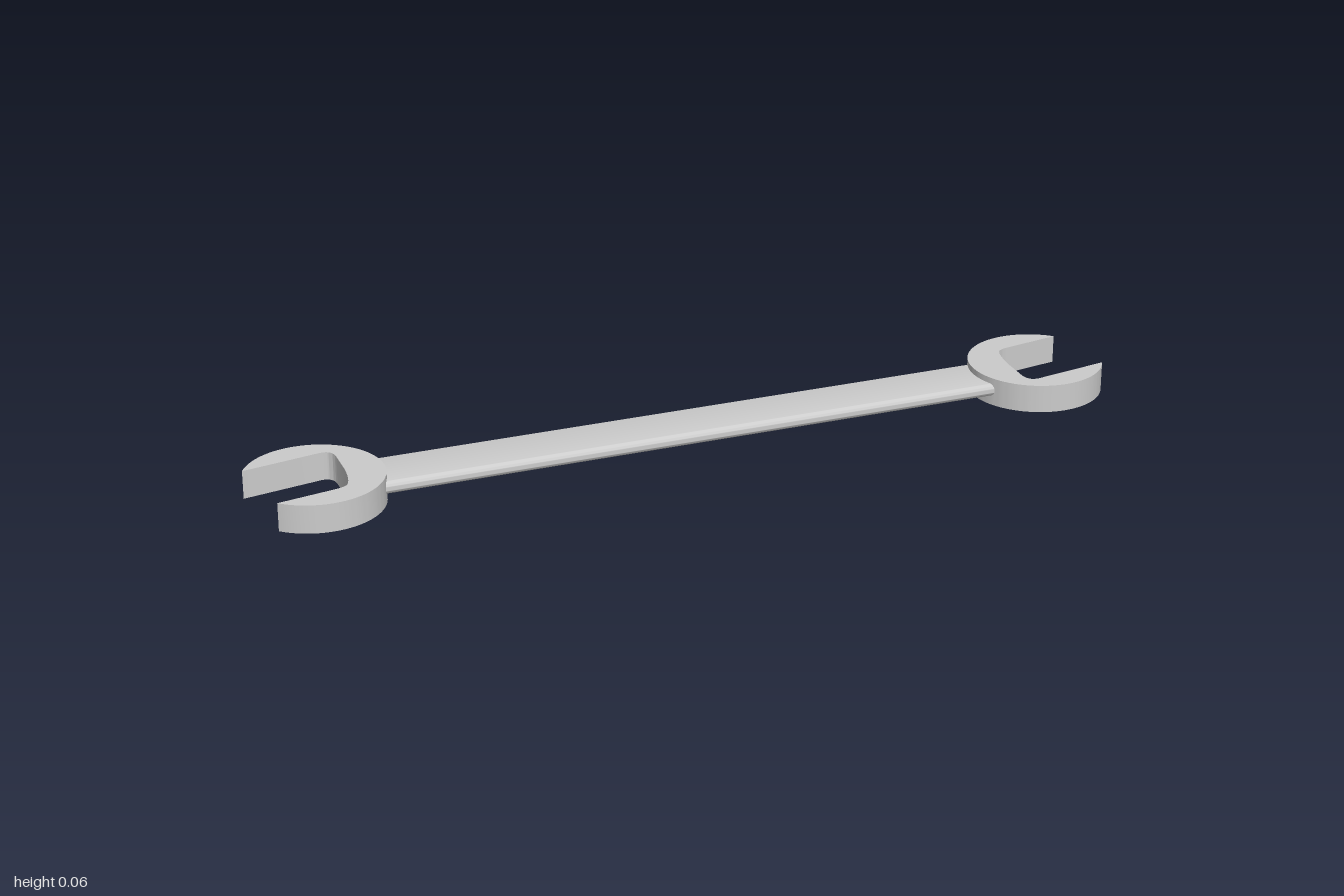
import * as THREE from 'three';
import { toCreasedNormals } from 'three/addons/utils/BufferGeometryUtils.js';

const HEAD_X = 0.86, HEAD_R = 0.155, HEAD_H = 0.065;
const HANDLE_LENGTH = 1.48, HANDLE_HALF_WIDTH = 0.071, HANDLE_H = 0.03;

// Open jaw: round outside, slightly tilted slot with a rounded throat
function headGeometry() {
  const s = new THREE.Shape();
  s.absarc(0, 0, HEAD_R, 0.8, Math.PI * 2 - 0.48, false);
  s.lineTo(-0.042, -0.102);
  s.quadraticCurveTo(-0.07, -0.105, -0.07, -0.07);
  s.lineTo(-0.069, 0.0);
  s.quadraticCurveTo(-0.064, 0.065, -0.05, 0.079);
  s.quadraticCurveTo(-0.044, 0.085, -0.025, 0.089);
  s.closePath();
  const g = new THREE.ExtrudeGeometry(s, { depth: HEAD_H, bevelEnabled: false, curveSegments: 48 });
  g.rotateX(-Math.PI / 2);
  return toCreasedNormals(g, 0.5);
}

// Flat bar with fully rounded long edges
function handleGeometry() {
  const r = HANDLE_H / 2, w = HANDLE_HALF_WIDTH - r;
  const s = new THREE.Shape();
  s.absarc(w, 0, r, -Math.PI / 2, Math.PI / 2, false);
  s.absarc(-w, 0, r, Math.PI / 2, Math.PI * 1.5, false);
  s.closePath();
  const g = new THREE.ExtrudeGeometry(s, { depth: HANDLE_LENGTH, bevelEnabled: false, curveSegments: 16 });
  g.translate(0, 0, -HANDLE_LENGTH / 2);
  g.rotateY(Math.PI / 2);
  return toCreasedNormals(g, 0.5);
}

export function createModel() {
  const group = new THREE.Group();
  group.name = 'openEndWrench';
  const material = new THREE.MeshStandardMaterial({ color: 0xcccccc });

  const handle = new THREE.Mesh(handleGeometry(), material);
  handle.name = 'handle';
  handle.position.y = 0.036;
  group.add(handle);

  // The two heads are half a turn apart
  const geometry = headGeometry();
  for (const side of [1, -1]) {
    const head = new THREE.Mesh(geometry, material);
    head.name = side > 0 ? 'leftHead' : 'rightHead';
    head.position.x = side * HEAD_X;
    head.rotation.y = side > 0 ? 0 : Math.PI;
    group.add(head);
  }
  return group;
}
